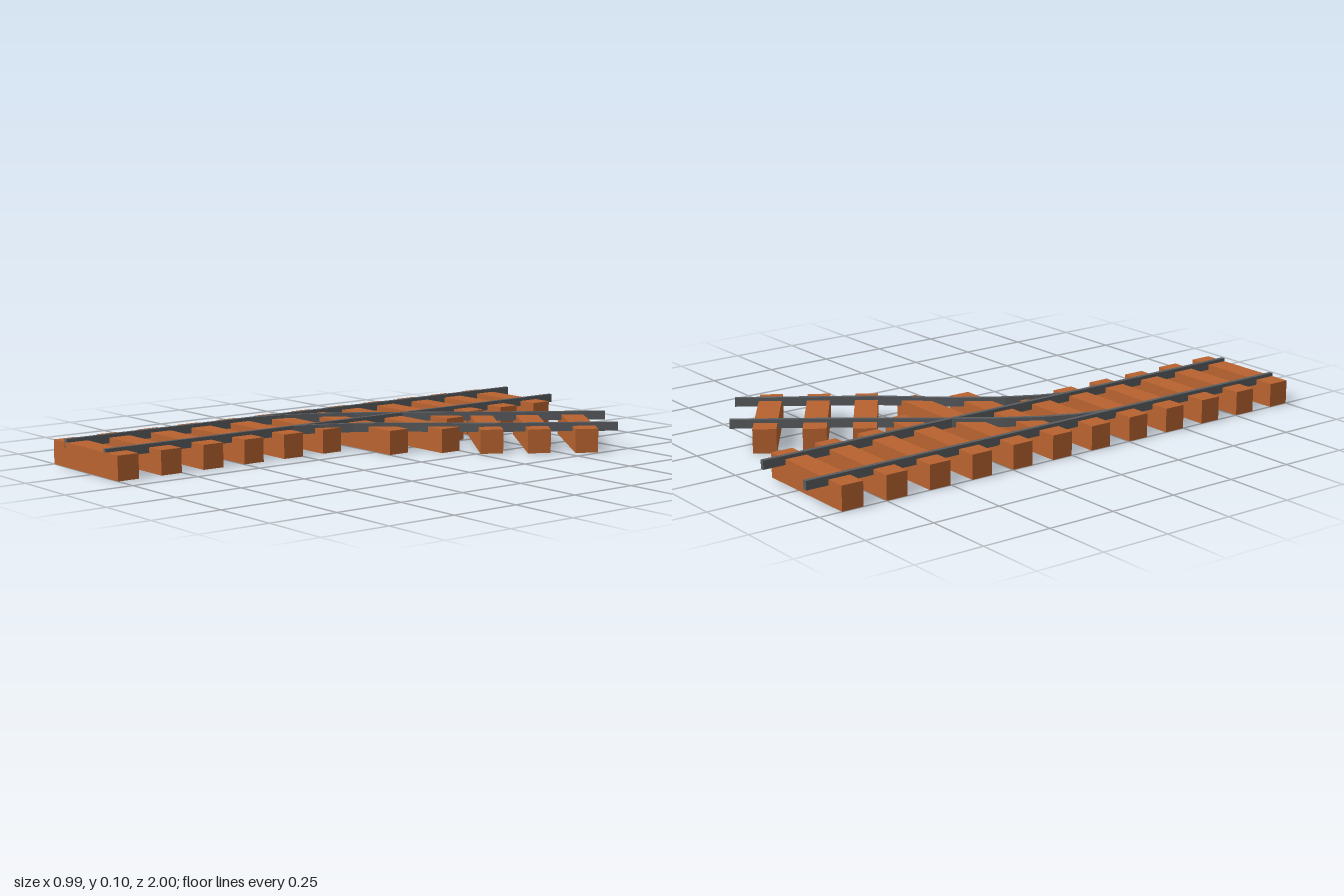
import * as THREE from 'three';

const TIE_H = 0.085, TIE_D = 0.08, TIE_L = 0.41;
const RAIL_W = 0.015, RAIL_BOTTOM = 0.066, RAIL_H = 0.031;
const BRANCH_ANGLE = THREE.MathUtils.degToRad(35);

const wood = new THREE.MeshStandardMaterial({ color: 0xb8632f, flatShading: true });
const steel = new THREE.MeshStandardMaterial({ color: 0x5a5d60, flatShading: true });

function tie(name, length, x, z, turn = 0) {
  const mesh = new THREE.Mesh(new THREE.BoxGeometry(length, TIE_H, TIE_D), wood);
  mesh.name = name;
  mesh.position.set(x, TIE_H / 2, z);
  mesh.rotation.y = -turn;
  return mesh;
}

// Rail of constant width along a plan path of [x, z] points, with mitred bends
function rail(name, path) {
  const pts = path.map(([x, z]) => new THREE.Vector2(x, -z));
  const left = [], right = [];
  pts.forEach((p, i) => {
    const before = pts[Math.max(i - 1, 0)], after = pts[Math.min(i + 1, pts.length - 1)];
    const a = (i ? p.clone().sub(before) : after.clone().sub(p)).normalize();
    const b = (i < pts.length - 1 ? after.clone().sub(p) : a.clone()).normalize();
    const dir = a.clone().add(b).normalize();
    const offset = new THREE.Vector2(-dir.y, dir.x).multiplyScalar(RAIL_W / 2 / dir.dot(a));
    left.push(p.clone().add(offset));
    right.unshift(p.clone().sub(offset));
  });
  const geometry = new THREE.ExtrudeGeometry(new THREE.Shape([...left, ...right]), {
    depth: RAIL_H, bevelEnabled: false,
  });
  geometry.rotateX(-Math.PI / 2);
  const mesh = new THREE.Mesh(geometry, steel);
  mesh.name = name;
  mesh.position.y = RAIL_BOTTOM;
  return mesh;
}

export function createModel() {
  const model = new THREE.Group();
  model.name = 'railwaySwitch';

  // Main line ties, lengthened where the branch crosses them
  const longTies = { 6: 0.577, 7: 0.66, 8: 0.49 };
  for (let i = 0; i < 12; i++) {
    const length = longTies[i] ?? TIE_L;
    model.add(tie('mainTie', length, -0.5 + length / 2, 0.96 - i * 0.167));
  }

  // Branch ties, square to the branch line
  for (let i = 0; i < 3; i++) {
    model.add(tie('branchTie', TIE_L, 0.11 + i * 0.0965, -0.415 - i * 0.1365, BRANCH_ANGLE));
  }

  // Straight rails
  for (const x of [-0.42, -0.17]) model.add(rail('mainRail', [[x, 1], [x, -1]]));

  // Curved branch rails
  model.add(rail('branchOuterRail', [
    [-0.42, 0.24], [-0.39, 0.114], [-0.34, 0], [-0.272, -0.114],
    [-0.175, -0.25], [0.045, -0.542], [0.268, -0.86],
  ]));
  model.add(rail('branchInnerRail', [
    [-0.17, 0.24], [-0.138, 0.15], [-0.082, 0.04], [0.013, -0.098],
    [0.2, -0.315], [0.478, -0.715],
  ]));

  return model;
}
